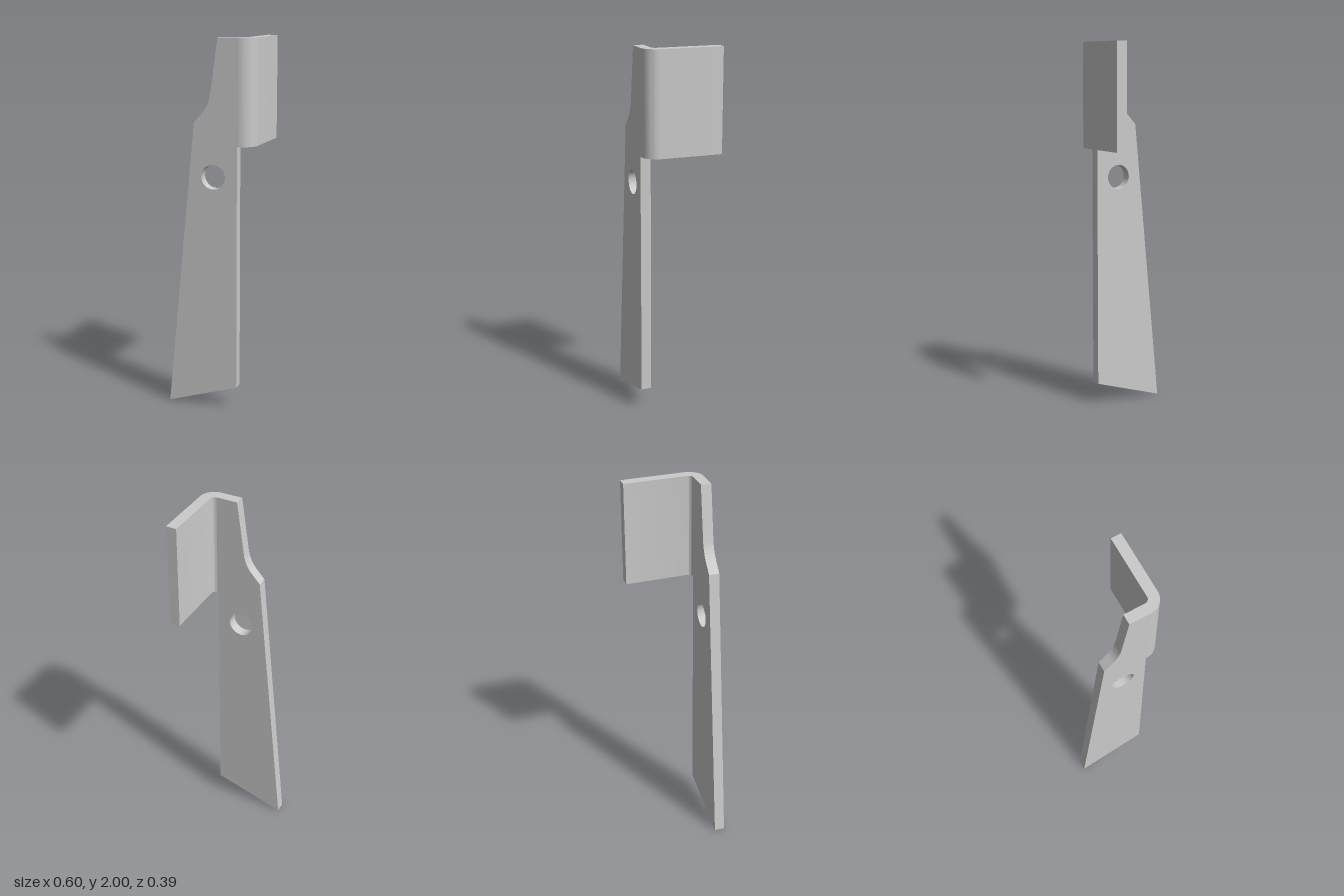
import * as THREE from 'three';
import { toCreasedNormals } from 'three/addons/utils/BufferGeometryUtils.js';

const THICK = 0.056;   // sheet thickness
const BEND_U = 0.397;  // where the blade ends and the bend starts
const BEND_R = 0.08;   // outer bend radius
const TAB_Y = 1.44;    // lower edge of the side flange
const TOP = 2;

function extrude(shape, depth, curveSegments) {
  const geo = new THREE.ExtrudeGeometry(shape, { depth, curveSegments, bevelEnabled: false });
  return toCreasedNormals(geo, 0.5);
}

export function createModel() {
  const material = new THREE.MeshStandardMaterial({ color: 0xcccccc });
  const model = new THREE.Group();
  model.name = 'bentBladeBracket';

  // Tapered blade with a slanted foot, a curved shoulder and a round hole
  const blade = new THREE.Shape();
  blade.moveTo(0, 0);
  blade.lineTo(0.39, 0.12);
  blade.lineTo(0.39, TAB_Y);
  blade.lineTo(BEND_U, TAB_Y);
  blade.lineTo(BEND_U, TOP);
  blade.lineTo(0.283, TOP);
  blade.lineTo(0.243, 1.71);
  blade.quadraticCurveTo(0.232, 1.645, 0.192, 1.605);
  blade.lineTo(0.151, 1.56);
  blade.closePath();
  const hole = new THREE.Path();
  hole.absarc(0.258, 1.274, 0.066, 0, Math.PI * 2, true);
  blade.holes.push(hole);
  const bladeMesh = new THREE.Mesh(extrude(blade, THICK, 16), material);
  bladeMesh.name = 'blade';
  bladeMesh.position.z = -THICK;

  // Rounded bend and side flange, drawn in plan and extruded upwards
  const outerU = BEND_U + BEND_R;
  const flange = new THREE.Shape();
  flange.moveTo(BEND_U, 0);
  flange.absarc(BEND_U, BEND_R, BEND_R, -Math.PI / 2, 0, false);
  flange.lineTo(outerU, 0.42);
  flange.lineTo(outerU - THICK, 0.42);
  flange.absarc(BEND_U, BEND_R, BEND_R - THICK, 0, -Math.PI / 2, true);
  flange.closePath();
  const flangeMesh = new THREE.Mesh(extrude(flange, TOP - TAB_Y, 6), material);
  flangeMesh.name = 'sideFlange';
  flangeMesh.rotation.x = -Math.PI / 2;
  flangeMesh.position.y = TAB_Y;

  // Turn the whole sheet about the vertical and centre it
  const sheet = new THREE.Group();
  sheet.name = 'sheet';
  sheet.add(bladeMesh, flangeMesh);
  sheet.rotation.y = THREE.MathUtils.degToRad(-21);
  sheet.position.set(-0.298, 0, 0.045);
  model.add(sheet);
  return model;
}
